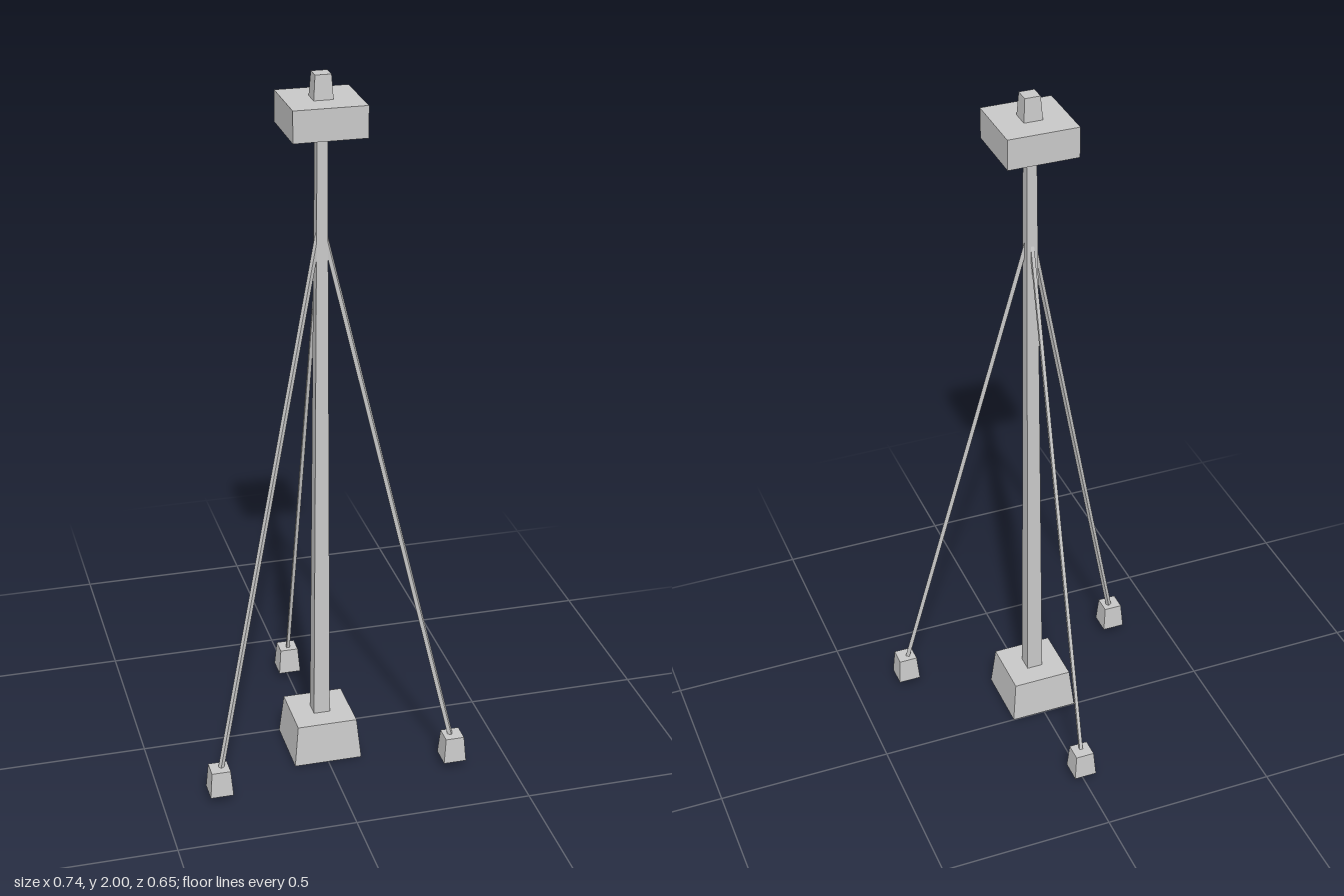
import * as THREE from 'three';

const AXIS_Z = 0.098; // the mast stands forward of the model's centre

export function createModel() {
  const model = new THREE.Group();
  model.name = 'guyedMast';
  const grey = new THREE.MeshStandardMaterial({ color: 0xc8c8c8 });
  grey.name = 'light grey';

  // Square block between two heights, tapering from bottom to top width
  function block(name, bottom, top, y0, y1, x = 0, z = AXIS_Z) {
    const geometry = new THREE.BoxGeometry(1, y1 - y0, 1);
    const p = geometry.attributes.position;
    for (let i = 0; i < p.count; i++) {
      const w = p.getY(i) < 0 ? bottom : top;
      p.setX(i, p.getX(i) * w);
      p.setZ(i, p.getZ(i) * w);
    }
    geometry.computeVertexNormals();
    const mesh = new THREE.Mesh(geometry, grey);
    mesh.name = name;
    mesh.position.set(x, (y0 + y1) / 2, z);
    model.add(mesh);
  }

  // Central column
  block('base', 0.196, 0.172, 0, 0.12);
  block('mast', 0.047, 0.028, 0.12, 1.85);
  block('head', 0.197, 0.197, 1.85, 1.935);
  block('cap', 0.052, 0.043, 1.935, 2);

  // Three anchors, each with a square guy wire up to the mast
  const anchors = [
    ['back', 0, -0.294, 0.0095],
    ['left', 0.339, 0.292, 0.0115],
    ['right', -0.339, 0.292, 0.0115],
  ];
  for (const [side, x, z, width] of anchors) {
    block(side + 'Anchor', 0.065, 0.053, 0.025, 0.1, x, z);

    // The wire meets the anchor slightly inside its centre
    const foot = new THREE.Vector3(x, 0.095, z).lerp(new THREE.Vector3(0, 0.095, AXIS_Z), 0.015);
    const top = new THREE.Vector3(0, 1.61, AXIS_Z);
    const wire = new THREE.Mesh(new THREE.BoxGeometry(width, width, foot.distanceTo(top)), grey);
    wire.name = side + 'GuyWire';
    wire.position.copy(foot).add(top).multiplyScalar(0.5);
    wire.lookAt(top);
    model.add(wire);
  }
  return model;
}
